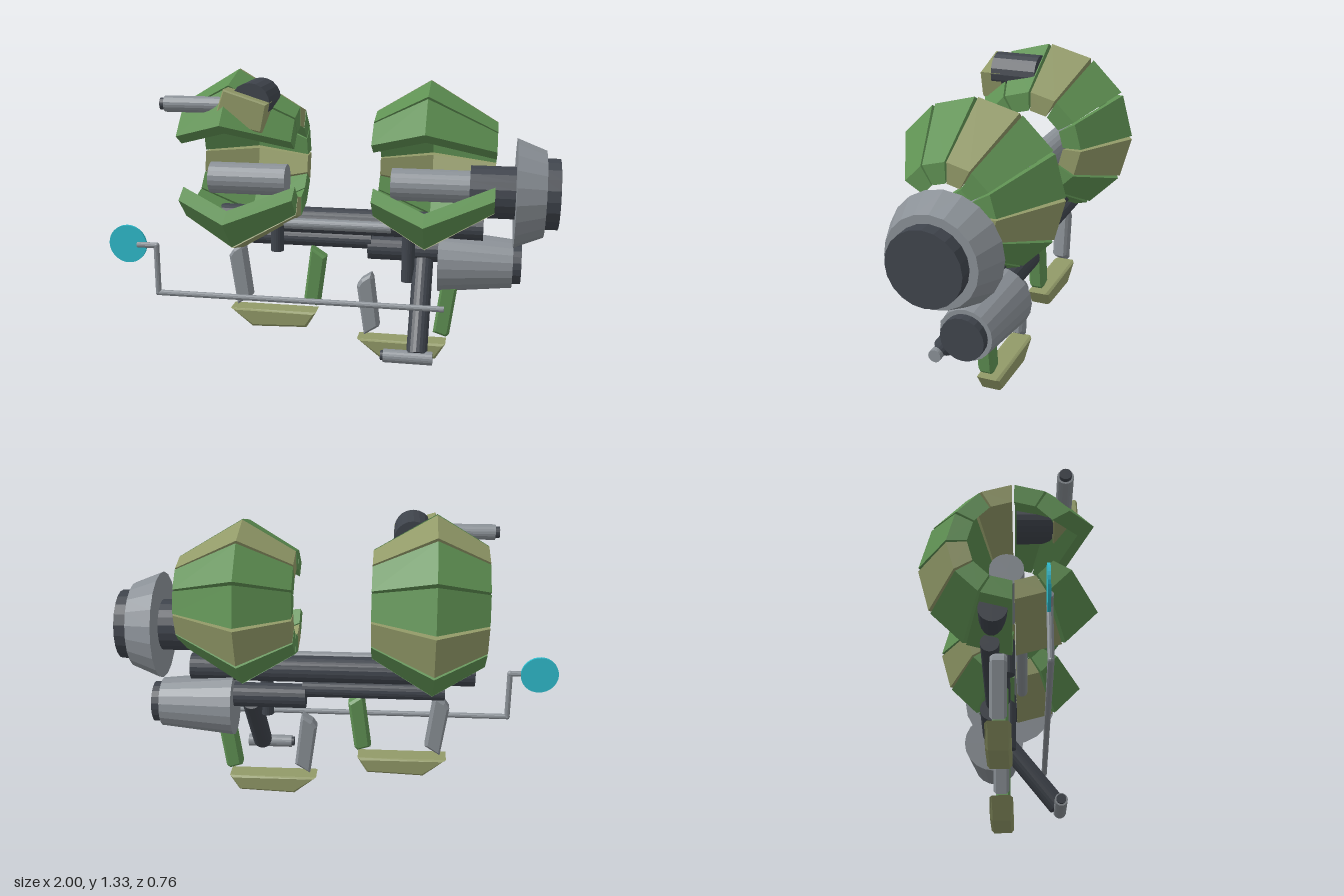
import * as THREE from 'three';

const mat = (name, color) => {
  const m = new THREE.MeshStandardMaterial({ color, flatShading: true });
  m.name = name;
  return m;
};

export function createModel() {
  const green = mat('green', 0x5f9153), olive = mat('olive', 0x929a68);
  const dark = mat('charcoal', 0x3f444c), grey = mat('grey', 0x8a9096);
  const cyan = mat('cyan', 0x2fbccd);
  const model = new THREE.Group();
  model.name = 'model';

  const add = (name, geometry, material, parent = model) => {
    const mesh = new THREE.Mesh(geometry, material);
    mesh.name = name;
    parent.add(mesh);
    return mesh;
  };

  // Round bar between two points, rA at the start and rB at the end
  const bar = (name, a, b, rA, material, rB = rA, sides = 20) => {
    const p = new THREE.Vector3(...a), q = new THREE.Vector3(...b);
    const d = q.clone().sub(p);
    const mesh = add(name, new THREE.CylinderGeometry(rB, rA, d.length(), sides), material);
    mesh.position.copy(p).add(q).multiplyScalar(0.5);
    mesh.quaternion.setFromUnitVectors(new THREE.Vector3(0, 1, 0), d.normalize());
    return mesh;
  };
  // Bar parallel to the x axis
  const xBar = (name, x0, x1, y, z, r0, material, r1 = r0) =>
    bar(name, [x0, y, z], [x1, y, z], r0, material, r1);

  // Bevelled plate from a front outline, between z0 and z1
  const plate = (name, points, z0, z1, material, parent, bevel = 0.012) => {
    const shape = new THREE.Shape(points.map(([x, y]) => new THREE.Vector2(x, y)));
    const geometry = new THREE.ExtrudeGeometry(shape, {
      depth: z1 - z0 - 2 * bevel, bevelEnabled: true, bevelThickness: bevel,
      bevelSize: bevel, bevelOffset: -bevel, bevelSegments: 1,
    });
    geometry.translate(0, 0, z0 + bevel);
    return add(name, geometry, material, parent);
  };

  // One armour wedge: a chevron profile of [x, radius] swept between two angles
  const wedge = (profile, a0, a1) => {
    const ring = (a) => profile.map(([x, r]) => [x, r * Math.cos(a), -r * Math.sin(a)]);
    const A = ring(a0), B = ring(a1), pos = [];
    const quad = (a, b, c, d) => pos.push(...a, ...b, ...c, ...a, ...c, ...d);
    for (let i = 0; i < 6; i++) {
      const j = (i + 1) % 6;
      quad(A[i], A[j], B[j], B[i]);
    }
    quad(A[0], A[5], A[4], A[1]);
    quad(A[1], A[4], A[3], A[2]);
    quad(B[0], B[1], B[4], B[5]);
    quad(B[1], B[2], B[3], B[4]);
    const geometry = new THREE.BufferGeometry();
    geometry.setAttribute('position', new THREE.Float32BufferAttribute(pos, 3));
    geometry.computeVertexNormals();
    return geometry;
  };

  // Armour shell: ten wedges around the x axis, open at the front
  const shell = (name, x0, xMid, x1, radius) => {
    const group = new THREE.Group();
    group.name = name;
    group.position.set(0, 0.927, 0.028);
    const slope = 0.6, thick = 0.085;
    const r0 = radius - (xMid - x0) * slope, r1 = radius - (x1 - xMid) * slope;
    const profile = [[x0, r0], [xMid, radius], [x1, r1],
      [x1, r1 - thick], [xMid, radius - thick], [x0, r0 - thick]];
    const step = Math.PI / 6, gap = 0.02;
    for (let i = -2; i < 8; i++) {
      add('armourWedge', wedge(profile, i * step + gap, (i + 1) * step - gap),
        i >= 0 && i % 3 === 0 ? olive : green, group);
    }
    model.add(group);
  };
  shell('rightShell', -0.627, -0.40, -0.13, 0.408);
  shell('leftShell', 0.21, 0.44, 0.728, 0.374);

  // Cylinders inside the shells
  xBar('rightCore', -0.555, -0.2, 0.835, 0, 0.072, grey);
  xBar('leftCore', 0.275, 0.63, 0.835, 0, 0.072, grey);

  // Large drum at the left end
  xBar('drumAxle', 0.62, 0.83, 0.816, 0, 0.115, dark);
  xBar('drumRing', 0.815, 0.94, 0.816, -0.005, 0.24, grey, 0.19);
  xBar('drumCap', 0.93, 1.0, 0.816, -0.005, 0.155, dark);

  // Lower tapered housing
  xBar('housing', 0.49, 0.82, 0.469, -0.08, 0.144, grey, 0.11);
  xBar('housingCap', 0.81, 0.858, 0.469, -0.08, 0.092, dark);

  // Cross tubes joining both sides
  xBar('mainTube', -0.59, 0.685, 0.638, -0.055, 0.06, dark);
  xBar('slimTube', -0.2, 0.28, 0.65, 0.06, 0.025, grey);
  xBar('lowerTube', -0.46, 0.18, 0.55, -0.07, 0.04, dark);
  xBar('lowerSleeve', 0.165, 0.5, 0.515, -0.08, 0.056, dark);
  bar('rightPost', [-0.25, 0.5, 0], [-0.25, 0.66, 0], 0.03, dark);
  bar('leftPost', [0.355, 0.385, 0], [0.355, 0.66, 0], 0.03, dark);

  // Slanted leg with its foot peg
  bar('leg', [0.42, 0.47, -0.045], [0.42, 0.125, 0.225], 0.046, dark);
  xBar('footPeg', 0.275, 0.49, 0.115, 0.235, 0.03, grey);
  xBar('footPegTip', 0.262, 0.28, 0.115, 0.235, 0.022, dark);

  // Cranked rod with a disc
  const rod = [[-0.865, 0.545, 0.165], [-0.775, 0.545, 0.165],
    [-0.775, 0.32, 0.165], [0.53, 0.32, 0.165]];
  for (let i = 0; i < 3; i++) {
    bar('crankRod', rod[i], rod[i + 1], 0.013, grey, 0.013, 10);
    if (i) add('crankJoint', new THREE.SphereGeometry(0.014, 10, 8), grey).position.set(...rod[i]);
  }
  bar('disc', [-0.912, 0.545, 0.152], [-0.912, 0.545, 0.164], 0.088, cyan, 0.088, 32);

  // Two matching claws under the tubes
  for (const [name, dx, dy] of [['rightClaw', 0, 0], ['leftClaw', 0.605, -0.115]]) {
    const claw = new THREE.Group();
    claw.name = name;
    claw.position.set(dx, dy, 0);
    plate('clawGreyPlate', [[-0.465, 0.49], [-0.485, 0.46], [-0.45, 0.22], [-0.38, 0.265],
      [-0.41, 0.5], [-0.42, 0.52]], -0.07, 0, grey, claw);
    plate('clawGreenPlate', [[-0.095, 0.52], [-0.13, 0.255], [-0.07, 0.235], [-0.055, 0.25],
      [-0.025, 0.475]], -0.07, 0, green, claw);
    plate('clawBase', [[-0.48, 0.205], [-0.375, 0.12], [-0.115, 0.13], [-0.07, 0.205]],
      -0.088, 0.017, olive, claw);
    model.add(claw);
  }

  // Gun on the right shell
  bar('gunMount', [-0.3, 1.215, 0.04], [-0.3, 1.215, 0.253], 0.085, dark);
  plate('gunBody', [[-0.4, 1.278], [-0.445, 1.145], [-0.24, 1.1], [-0.215, 1.22]],
    0.2, 0.307, olive, model, 0.006);
  xBar('gunBarrel', -0.67, -0.38, 1.205, 0.245, 0.035, grey);
  xBar('gunMuzzle', -0.69, -0.66, 1.205, 0.245, 0.026, dark);

  return model;
}
